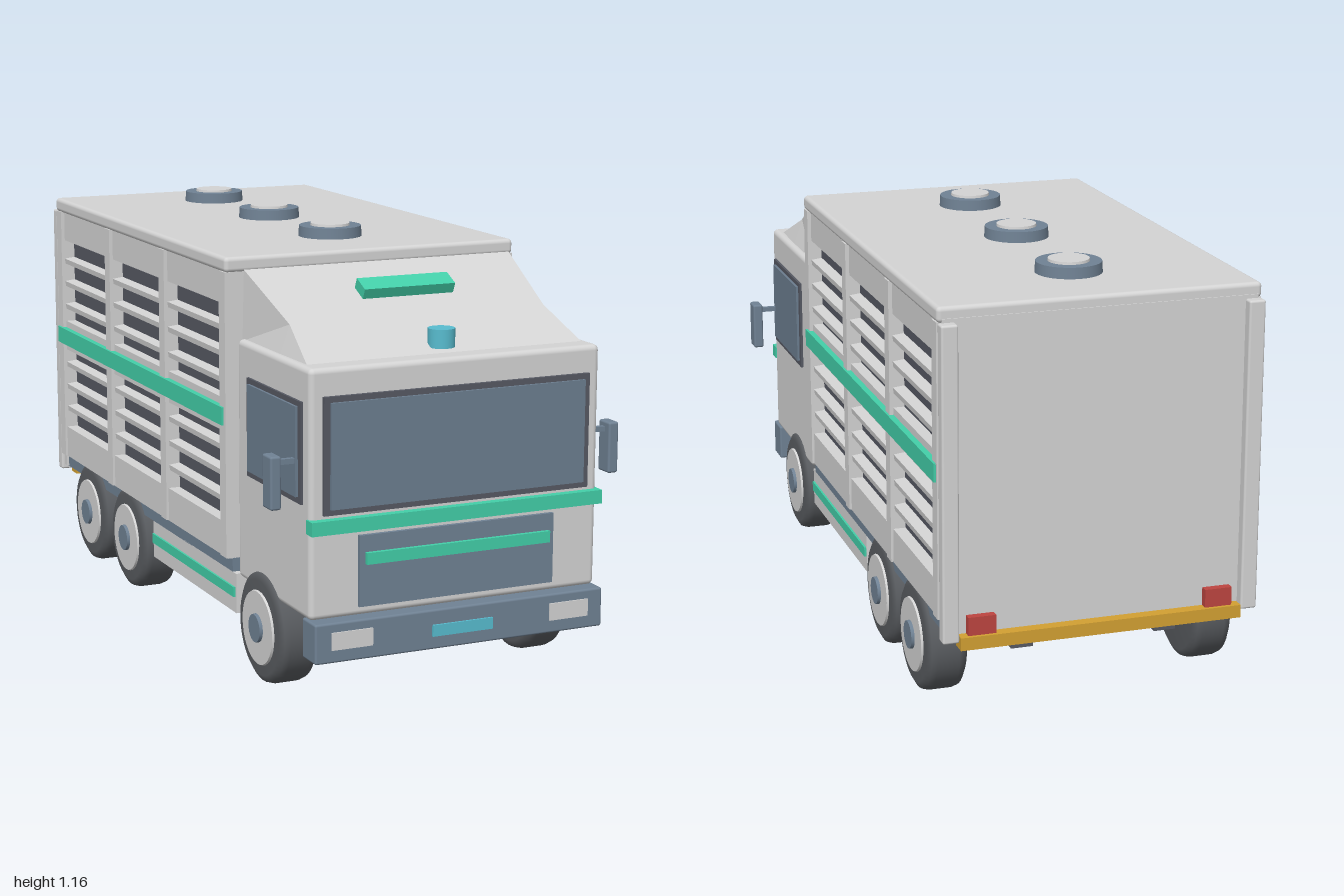
import * as THREE from 'three';
import { RoundedBoxGeometry } from 'three/addons/geometries/RoundedBoxGeometry.js';

const mat = (name, color, extra = {}) => new THREE.MeshStandardMaterial({ name, color, ...extra });

export function createModel() {
  const truck = new THREE.Group();
  truck.name = 'truck';
  const white = mat('body white', 0xd4d4d4);
  const slate = mat('slate', 0x708294);
  const glass = mat('glass', 0x6c7e90);
  const dark = mat('dark trim', 0x565963);
  const tyre = mat('tyre rubber', 0x595c60);
  const teal = mat('teal', 0x43cfa9);
  const cyan = mat('cyan light', 0x58bccf);
  const amber = mat('amber', 0xd2a032);
  const red = mat('red', 0xbd4540);

  const add = (name, geo, material, x = 0, y = 0, z = 0, parent = truck) => {
    const m = new THREE.Mesh(geo, material);
    m.name = name;
    m.position.set(x, y, z);
    parent.add(m);
    return m;
  };
  // Box given by its low and high limits on each axis; r rounds the edges
  const box = (name, material, [x0, x1], [y0, y1], [z0, z1], r = 0) => {
    const s = [x1 - x0, y1 - y0, z1 - z0];
    const geo = r ? new RoundedBoxGeometry(...s, 3, r) : new THREE.BoxGeometry(...s);
    return add(name, geo, material, (x0 + x1) / 2, (y0 + y1) / 2, (z0 + z1) / 2);
  };
  const wide = (h) => [-h, h];
  // The same box on both sides of the truck
  const pair = (name, material, [x0, x1], y, z, r) => {
    box(name + 'Left', material, [x0, x1], y, z, r);
    box(name + 'Right', material, [-x1, -x0], y, z, r);
  };

  // Cab
  box('cab', white, wide(0.42), [0.25, 0.907], [0.485, 0.955], 0.015);
  box('windshieldFrame', dark, wide(0.385), [0.527, 0.835], [0.945, 0.966]);
  box('windshield', glass, wide(0.368), [0.543, 0.82], [0.966, 0.974]);
  box('frontStripe', teal, wide(0.424), [0.48, 0.517], [0.94, 0.978]);
  box('grille', slate, wide(0.284), [0.276, 0.466], [0.945, 0.966]);
  box('grilleStripe', teal, wide(0.268), [0.39, 0.421], [0.96, 0.978]);
  pair('sideWindowFrame', dark, [0.41, 0.427], [0.55, 0.817], [0.565, 0.915]);
  pair('sideWindow', glass, [0.427, 0.434], [0.567, 0.803], [0.583, 0.897]);
  pair('mirrorArm', slate, [0.415, 0.49], [0.654, 0.668], [0.878, 0.892]);
  pair('mirror', slate, [0.48, 0.51], [0.542, 0.682], [0.86, 0.915], 0.006);

  // Front bumper
  box('bumper', slate, wide(0.422), [0.145, 0.252], [0.912, 0.994], 0.006);
  pair('headlight', white, [0.26, 0.377], [0.18, 0.227], [0.99, 0.998]);
  box('bumperLight', cyan, wide(0.088), [0.181, 0.212], [0.99, 1.0]);

  // Roof fairing: sections [z, height, half width at the ridge], narrowing in the middle
  const sections = [[0.895, 0.905, 0.4], [0.73, 0.982, 0.375], [0.487, 1.092, 0.4]];
  const tri = [];
  const quad = (a, b, c, d) => tri.push(...a, ...b, ...c, ...a, ...c, ...d);
  for (let i = 0; i < 2; i++) {
    const [z0, y0, w0] = sections[i], [z1, y1, w1] = sections[i + 1];
    quad([-w0, y0, z0], [w0, y0, z0], [w1, y1, z1], [-w1, y1, z1]);
    quad([w0, y0, z0], [0.405, 0.9, z0], [0.405, 0.9, z1], [w1, y1, z1]);
    quad([-w0, y0, z0], [-w1, y1, z1], [-0.405, 0.9, z1], [-0.405, 0.9, z0]);
  }
  quad([0.4, 1.092, 0.487], [0.405, 0.9, 0.487], [-0.405, 0.9, 0.487], [-0.4, 1.092, 0.487]);
  const fairing = new THREE.BufferGeometry();
  fairing.setAttribute('position', new THREE.Float32BufferAttribute(tri, 3));
  fairing.computeVertexNormals();
  add('roofFairing', fairing, white);
  add('lightBar', new THREE.BoxGeometry(0.268, 0.03, 0.055), teal, 0, 1.047, 0.645).rotation.x = 0.43;
  add('roofBeacon', new THREE.CylinderGeometry(0.036, 0.036, 0.05, 24), cyan, 0, 0.942, 0.857);
  box('coolingUnit', slate, wide(0.275), [0.83, 1.06], [0.43, 0.49]);

  // Cargo body: dark core, light end walls, roof and side framing
  box('cargoCore', dark, wide(0.395), [0.29, 1.09], [-0.95, 0.43]);
  box('cargoFrontWall', white, wide(0.425), [0.29, 1.09], [0.415, 0.44]);
  box('cargoRearDoor', white, wide(0.425), [0.25, 1.09], [-0.968, -0.94]);
  box('cargoRoof', white, wide(0.437), [1.078, 1.12], [-0.965, 0.445], 0.012);
  box('cargoFloor', slate, wide(0.418), [0.248, 0.292], [-0.955, 0.44]);
  const length = [-0.955, 0.44];
  pair('topRail', white, [0.39, 0.426], [0.99, 1.085], length);
  pair('middleRail', white, [0.39, 0.426], [0.638, 0.73], length);
  pair('bottomRail', white, [0.39, 0.43], [0.288, 0.385], length);
  pair('sideStripe', teal, [0.42, 0.443], [0.66, 0.71], [-0.947, 0.427]);
  for (const z of [0.42, -0.033, -0.488, -0.935])
    pair('sidePost', white, [0.39, 0.437], [0.29, 1.08], [z - 0.021, z + 0.021]);

  // Ventilation slats in three bays on each side
  const slatGeo = new THREE.BoxGeometry(0.034, 0.016, 0.42);
  for (const side of [1, -1])
    for (const z of [0.193, -0.26, -0.712])
      for (const y of [0.925, 0.853, 0.78, 0.592, 0.52, 0.448])
        add('slat', slatGeo, white, side * 0.409, y, z).rotation.z = -side * 0.12;

  // Roof vents
  for (const z of [0.167, -0.267, -0.703]) {
    add('ventBase', new THREE.CylinderGeometry(0.088, 0.09, 0.034, 32), slate, 0, 1.133, z);
    add('ventCap', new THREE.CylinderGeometry(0.055, 0.058, 0.02, 32), white, 0, 1.147, z);
  }

  // Rear end
  pair('rearPost', white, [0.39, 0.435], [0.235, 1.08], [-0.996, -0.96], 0.006);
  box('rearBar', amber, wide(0.388), [0.215, 0.25], [-1.0, -0.955]);
  pair('tailLight', red, [0.29, 0.365], [0.25, 0.3], [-0.99, -0.96]);

  // Chassis rails and side skirts
  pair('chassisRail', dark, [0.17, 0.23], [0.175, 0.25], [-0.93, 0.92]);
  pair('sideSkirt', white, [0.385, 0.418], [0.138, 0.25], [-0.172, 0.465]);
  pair('skirtStripe', teal, [0.415, 0.424], [0.183, 0.211], [-0.167, 0.457]);

  // Wheels: lathed tyre with a light rim and slate hub
  const profile = [[0, -0.056], [0.13, -0.056], [0.148, -0.046], [0.153, -0.03],
    [0.153, 0.03], [0.148, 0.046], [0.13, 0.056], [0, 0.056]];
  const tyreGeo = new THREE.LatheGeometry(profile.map(([r, y]) => new THREE.Vector2(r, y)), 40);
  const rimGeo = new THREE.CylinderGeometry(0.1, 0.104, 0.012, 32);
  const hubGeo = new THREE.CylinderGeometry(0.038, 0.04, 0.016, 24);
  for (const side of [1, -1])
    for (const z of [0.655, -0.36, -0.702]) {
      const wheel = new THREE.Group();
      wheel.name = 'wheel';
      wheel.position.set(side * 0.376, 0.153, z);
      wheel.rotation.z = -side * Math.PI / 2;
      add('tyre', tyreGeo, tyre, 0, 0, 0, wheel);
      add('rim', rimGeo, white, 0, 0.056, 0, wheel);
      add('hub', hubGeo, slate, 0, 0.063, 0, wheel);
      truck.add(wheel);
    }
  return truck;
}
